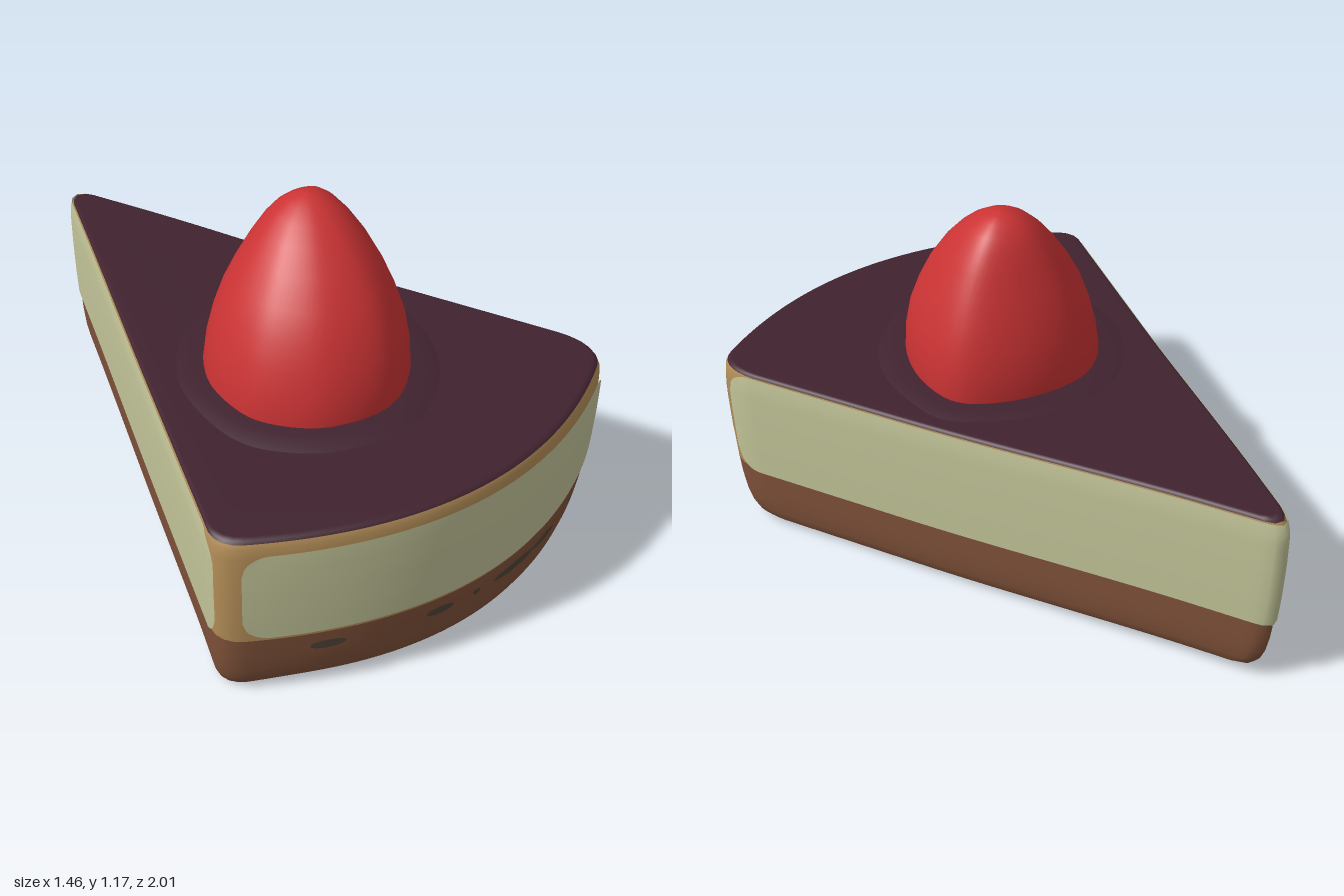
import * as THREE from 'three';

const mat = (name, color, side = THREE.FrontSide) => {
  const m = new THREE.MeshStandardMaterial({ color, side });
  m.name = name;
  return m;
};

// Wedge outline in x (first) and z (second): tip, right side, curved front, left side
const outline = new THREE.Path()
  .moveTo(-0.06, -0.97)
  .lineTo(0.7, 0.62)
  .quadraticCurveTo(0.75, 0.74, 0.68, 0.8)
  .quadraticCurveTo(0.03, 1.2, -0.67, 0.78)
  .quadraticCurveTo(-0.76, 0.73, -0.715, 0.64)
  .lineTo(-0.14, -0.96)
  .quadraticCurveTo(-0.1, -1.04, -0.06, -0.97);
const ends = outline.getCurveLengths();
const total = ends[ends.length - 1];
const CENTRE_Z = 0.2;

// Wall profile: [height, outline scale]
const profile = [[0.02, 0.92], [0.035, 0.945], [0.06, 0.96], [0.1, 0.973], [0.16, 0.983], [0.235, 0.99],
  [0.33, 0.996], [0.45, 1], [0.56, 1], [0.595, 0.996], [0.61, 0.988], [0.622, 0.972]];
const scaleAt = (y) => {
  const i = Math.max(1, profile.findIndex((p) => p[0] >= y));
  const [a, b] = [profile[i - 1], profile[i]];
  return a[1] + (b[1] - a[1]) * (y - a[0]) / (b[0] - a[0]);
};

// Point on the slice, with the tip raised and one lower corner sagging
function slicePoint(length, y, k) {
  const p = outline.getPoint((((length % total) + total) % total) / total);
  const x = p.x * k, z = CENTRE_Z + (p.y - CENTRE_Z) * k;
  const lift = 0.022 * THREE.MathUtils.smoothstep(-z, -0.1, 0.8);
  const near = Math.exp(-((x + 0.66) ** 2 + (z - 0.66) ** 2) / 0.015);
  const sag = 0.022 * near * Math.max(0, 1 - y / 0.2);
  return new THREE.Vector3(x, y + lift - sag, z);
}

// Skin a list of rows of points
function loft(rows) {
  const n = rows[0].length, index = [];
  for (let i = 0; i < rows.length - 1; i++) {
    for (let j = 0; j < n - 1; j++) {
      const a = i * n + j, b = a + 1, c = a + n, d = c + 1;
      index.push(a, c, b, b, c, d);
    }
  }
  const g = new THREE.BufferGeometry().setFromPoints(rows.flat());
  g.setIndex(index);
  g.computeVertexNormals();
  // Match the normals where each closed row meets itself
  const nor = g.attributes.normal;
  rows.forEach((row, i) => {
    if (row[0].distanceTo(row[n - 1]) > 1e-5) return;
    const a = new THREE.Vector3().fromBufferAttribute(nor, i * n);
    a.add(new THREE.Vector3().fromBufferAttribute(nor, i * n + n - 1)).normalize();
    nor.setXYZ(i * n, a.x, a.y, a.z);
    nor.setXYZ(i * n + n - 1, a.x, a.y, a.z);
  });
  return g;
}

const sliceLoft = (levels) => loft(levels.map(([y, k]) =>
  Array.from({ length: 181 }, (_, j) => slicePoint(total * j / 180, y, k))));

// Thin round-cornered plate lying on the wall
function wallPatch(from, to, y0, y1, rx, ry, cols, rows) {
  const grid = [];
  for (let i = 0; i <= rows; i++) {
    const row = [];
    for (let j = 0; j <= cols; j++) {
      // Columns crowd toward both ends to draw the corners cleanly
      const t = j / cols;
      const s = from + (to - from) * (0.4 * t + 0.6 * (1 - Math.cos(Math.PI * t)) / 2);
      const e = Math.max(0, 1 - Math.min(s - from, to - s) / rx);
      const cut = ry * (1 - Math.sqrt(Math.max(0, 1 - e * e)));
      const y = THREE.MathUtils.lerp(y0 + cut, y1 - cut, i / rows);
      row.push(slicePoint(s, y, scaleAt(y) + 0.008));
    }
    grid.push(row);
  }
  return loft(grid);
}

// Uneven round base of the berry
const footprint = new THREE.CatmullRomCurve3([[-0.12, -0.07], [0.1, -0.05], [0.27, 0.06], [0.285, 0.25],
  [0.2, 0.45], [0.06, 0.56], [-0.05, 0.58], [-0.22, 0.53], [-0.34, 0.4], [-0.365, 0.29], [-0.345, 0.14],
  [-0.25, 0]].map(([x, z]) => new THREE.Vector3(x + 0.04, 0, z - 0.255)), true).getPoints(72);
const berryLoft = (levels) => loft(levels.map(([y, k, cx, cz]) =>
  footprint.map((p) => new THREE.Vector3(cx + p.x * k, y, cz + p.z * k))));

export function createModel() {
  const crustMat = mat('crust brown', 0x80523a);
  const tanMat = mat('baked tan', 0xb48e58);
  const creamMat = mat('pale cream', 0xc3c599, THREE.DoubleSide);
  const glazeMat = mat('dark glaze', 0x40232f);
  const berryMat = mat('berry red', 0xcb3334);
  const markMat = mat('dark crumb', 0x524539, THREE.DoubleSide);

  const model = new THREE.Group();
  model.name = 'cakeSlice';
  const add = (name, geometry, material) => {
    const m = new THREE.Mesh(geometry, material);
    m.name = name;
    model.add(m);
  };

  // Layers of the slice
  add('crust', sliceLoft(profile.slice(0, 6)), crustMat);
  add('crustBottom', sliceLoft([[0.02, 0.0001], [0.02, 0.3], [0.02, 0.6], [0.02, 0.92]]), crustMat);
  add('filling', sliceLoft(profile.slice(5, 11)), tanMat);
  add('glaze', sliceLoft([[0.61, 0.988], [0.618, 0.98], [0.622, 0.965], [0.622, 0.8],
    [0.618, 0.6], [0.616, 0.4], [0.616, 0.2], [0.616, 0.0001]]), glazeMat);

  // Cream faces: one on the curved front, one wrapping both sides and the tip
  add('frontCream', wallPatch(ends[1] - 0.015, ends[2] + 0.015, 0.25, 0.575, 0.08, 0.07, 70, 10), creamMat);
  add('sideCream', wallPatch(ends[2] + 0.1, total + ends[0] + 0.09, 0.228, 0.608, 0.08, 0.08, 160, 12), creamMat);

  // Dark crumbs along the front of the crust: [x, half width, half height]
  for (const [x, w, h] of [[-0.45, 0.055, 0.017], [-0.11, 0.048, 0.016], [0.02, 0.016, 0.011],
    [0.18, 0.1, 0.016], [0.33, 0.065, 0.015], [0.52, 0.013, 0.007]]) {
    const s = ends[1] + (0.68 - x) / 1.35 * (ends[2] - ends[1]);
    add('crumb', wallPatch(s - w, s + w, 0.187 - h, 0.187 + h, w, h, 20, 2), markMat);
  }

  // Glaze swelling up around the berry
  add('glazeSwell', berryLoft([[0.612, 1.35, -0.04, 0.255], [0.622, 1.25, -0.04, 0.255],
    [0.63, 1.12, -0.04, 0.255], [0.632, 0.95, -0.04, 0.255]]), glazeMat);

  // Berry: [height, scale, centre x, centre z]
  add('berry', berryLoft([[0.6, 0.98, -0.04, 0.258], [0.64, 1, -0.039, 0.257], [0.72, 0.975, -0.034, 0.254],
    [0.8, 0.92, -0.029, 0.25], [0.88, 0.83, -0.026, 0.243], [0.95, 0.725, -0.02, 0.234],
    [1.03, 0.575, -0.01, 0.217], [1.09, 0.435, -0.002, 0.2], [1.13, 0.315, 0.004, 0.188],
    [1.158, 0.195, 0.008, 0.18], [1.171, 0.09, 0.01, 0.176], [1.175, 0.0001, 0.01, 0.175]]), berryMat);

  return model;
}
